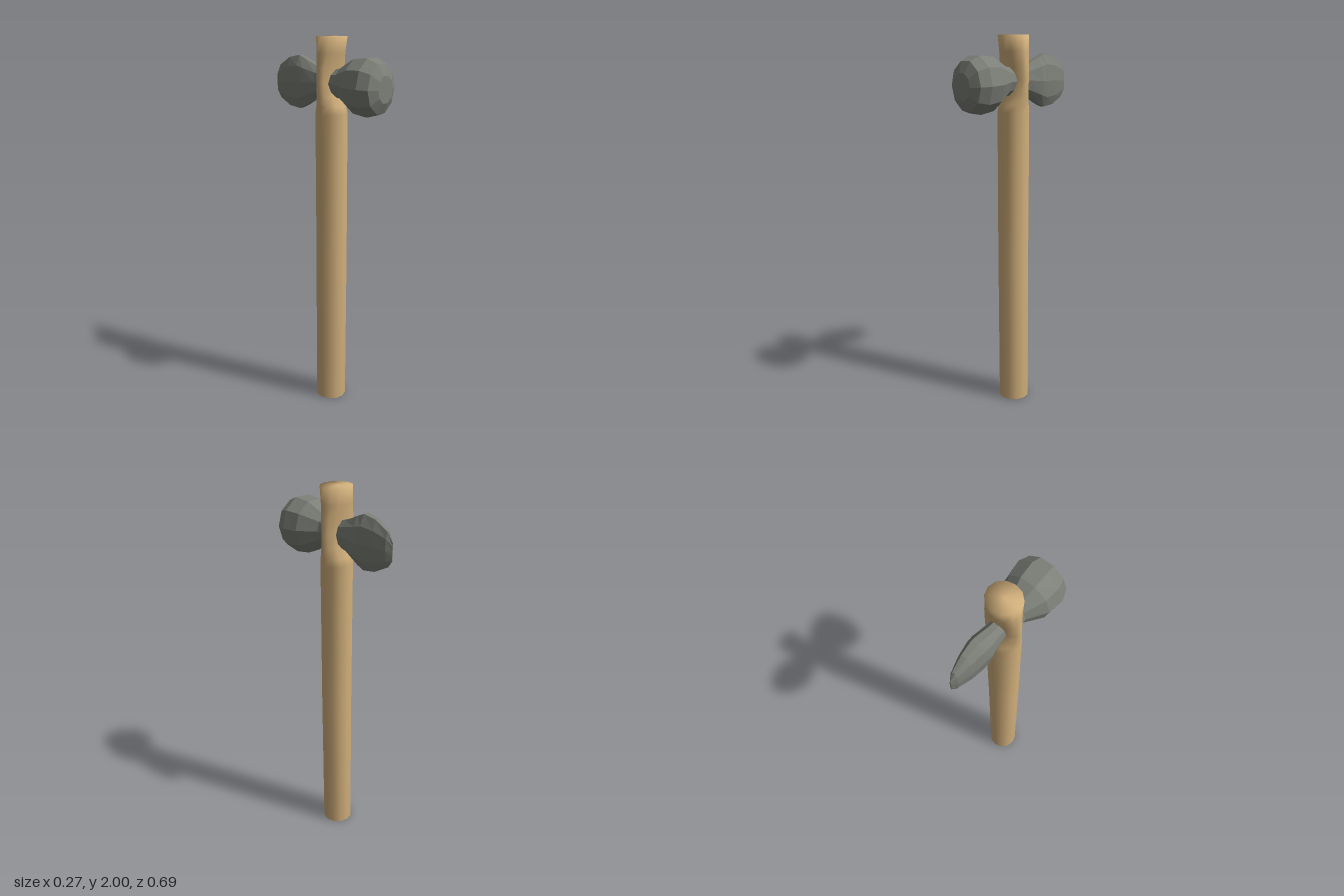
import * as THREE from 'three';

// Skin through elliptical sections [position, radiusX, radiusY, centreY] along +z, capped at both ends
function loft(sections, sides) {
  const pos = [], index = [], n = sections.length;
  for (const [z, rx, ry, cy] of sections) {
    for (let i = 0; i < sides; i++) {
      const a = (i / sides) * Math.PI * 2;
      pos.push(rx * Math.cos(a), cy + ry * Math.sin(a), z);
    }
  }
  for (let s = 0; s < n - 1; s++) {
    for (let i = 0; i < sides; i++) {
      const j = (i + 1) % sides;
      const a = s * sides + i, b = s * sides + j;
      index.push(a, b, b + sides, a, b + sides, a + sides);
    }
  }
  const first = n * sides, last = (n - 1) * sides;
  pos.push(0, sections[0][3], sections[0][0], 0, sections[n - 1][3], sections[n - 1][0]);
  for (let i = 0; i < sides; i++) {
    const j = (i + 1) % sides;
    index.push(first, j, i, first + 1, last + i, last + j);
  }
  const g = new THREE.BufferGeometry();
  g.setAttribute('position', new THREE.Float32BufferAttribute(pos, 3));
  g.setIndex(index);
  return g;
}

export function createModel() {
  const group = new THREE.Group();
  const wood = new THREE.MeshStandardMaterial({ color: 0xd2b07c });
  const stone = new THREE.MeshStandardMaterial({ color: 0x7c8078, flatShading: true });
  stone.name = 'stone';
  wood.name = 'wood';

  const add = (name, geometry, material) => {
    geometry.computeVertexNormals();
    const mesh = new THREE.Mesh(geometry, material);
    mesh.name = name;
    group.add(mesh);
  };

  // Wooden shaft, pinched front to back where the head is seated
  const shaft = loft([
    [0, 0.082, 0.083, -0.016],
    [0.85, 0.083, 0.083, -0.019],
    [1.62, 0.084, 0.083, -0.017],
    [1.66, 0.088, 0.071, -0.016],
    [1.71, 0.096, 0.051, -0.014],
    [1.78, 0.1, 0.043, -0.012],
    [1.85, 0.096, 0.05, -0.012],
    [1.92, 0.088, 0.064, -0.014],
    [2, 0.084, 0.077, -0.018],
  ], 12);
  shaft.rotateX(-Math.PI / 2);
  add('handle', shaft, wood);

  // Blunt hammer lobe at the front
  add('hammerHead', loft([
    [0.02, 0.06, 0.065, 1.775],
    [0.085, 0.066, 0.077, 1.775],
    [0.18, 0.125, 0.137, 1.768],
    [0.265, 0.136, 0.147, 1.765],
    [0.32, 0.115, 0.124, 1.762],
    [0.345, 0.062, 0.068, 1.76],
  ], 10), stone);

  // Narrow blade at the back, thinning to an upright edge
  add('axeBlade', loft([
    [-0.348, 0.003, 0.045, 1.76],
    [-0.32, 0.022, 0.09, 1.765],
    [-0.25, 0.041, 0.131, 1.767],
    [-0.18, 0.053, 0.143, 1.769],
    [-0.14, 0.057, 0.124, 1.77],
    [-0.06, 0.048, 0.08, 1.775],
    [0, 0.045, 0.065, 1.775],
  ], 10), stone);

  return group;
}
